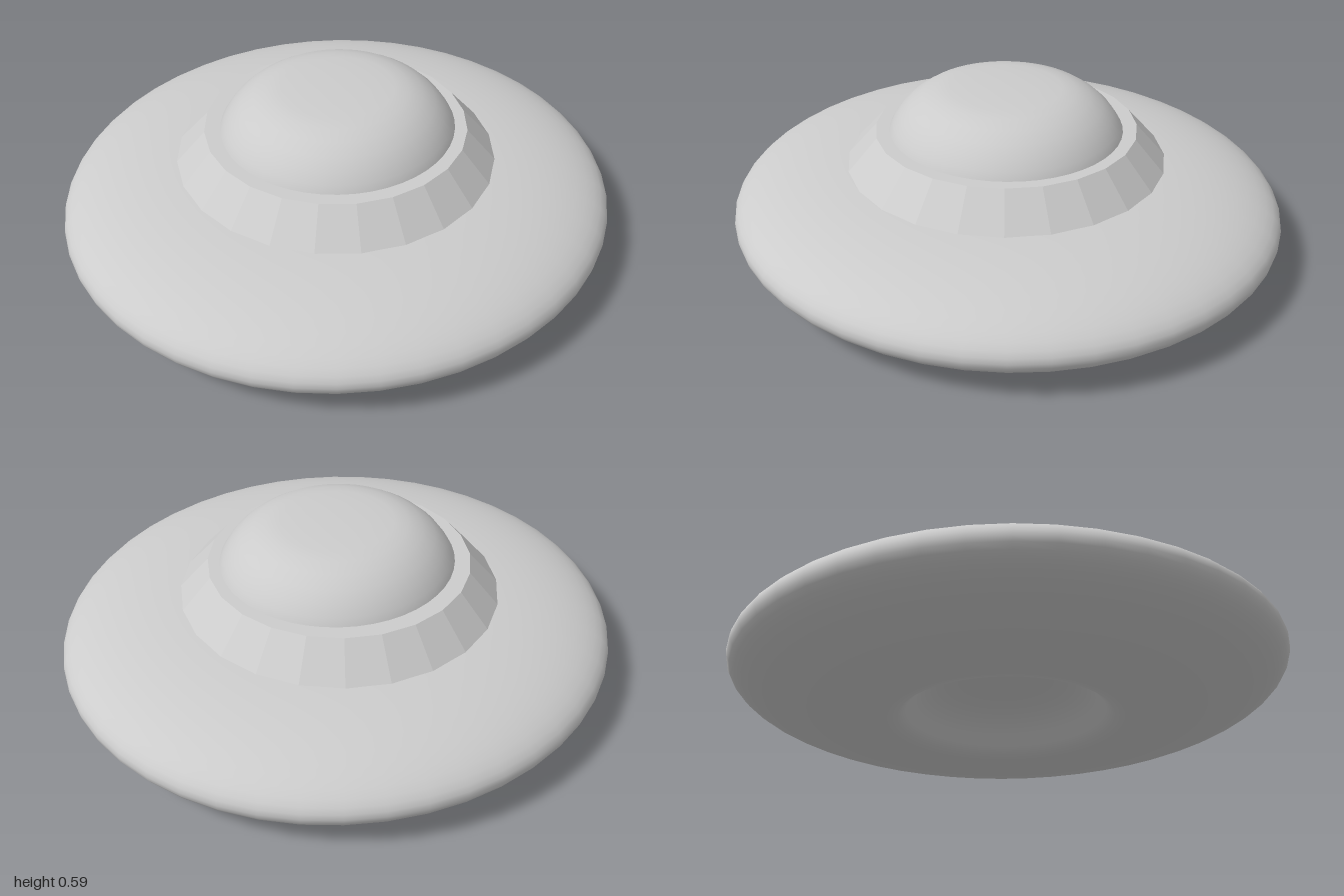
import * as THREE from 'three';

const material = new THREE.MeshStandardMaterial({ color: 0xcccccc });

// Revolve a list of [radius, height] points, given bottom to top
function revolve(name, points, sides, parent) {
  const profile = points.map(([r, y]) => new THREE.Vector2(r, y));
  const mesh = new THREE.Mesh(new THREE.LatheGeometry(profile, sides), material);
  mesh.name = name;
  parent.add(mesh);
  return mesh;
}

export function createModel() {
  const group = new THREE.Group();
  group.name = 'flyingSaucer';

  // Saucer hull: domed recess underneath, then a half-ellipse rim section
  const hull = [
    [0, 0.155], [0.1, 0.154], [0.18, 0.146], [0.24, 0.13], [0.29, 0.103],
    [0.33, 0.068], [0.36, 0.032], [0.39, 0.008],
  ];
  const steps = 28;
  for (let i = 0; i <= steps; i++) {
    const a = -Math.PI / 2 + (Math.PI * i) / steps;
    hull.push([0.43 + 0.57 * Math.cos(a), 0.164 + 0.164 * Math.sin(a)]);
  }
  hull.push([0, 0.328]);
  revolve('saucerHull', hull, 48, group).scale.z = 0.97;

  // Faceted collar with a flat ledge around the dome
  const collar = new THREE.Mesh(new THREE.CylinderGeometry(0.467, 0.592, 0.14, 24), material);
  collar.geometry = collar.geometry.toNonIndexed();
  collar.geometry.computeVertexNormals();
  collar.name = 'collar';
  collar.position.set(-0.004, 0.37, -0.006);
  group.add(collar);

  // Smooth flattened dome
  const dome = [
    [0.422, 0.43], [0.42, 0.44], [0.405, 0.466], [0.38, 0.5], [0.345, 0.533],
    [0.3, 0.562], [0.25, 0.58], [0.2, 0.588], [0.12, 0.592], [0.05, 0.594], [0, 0.594],
  ];
  revolve('dome', dome, 48, group).scale.z = 0.98;

  return group;
}
